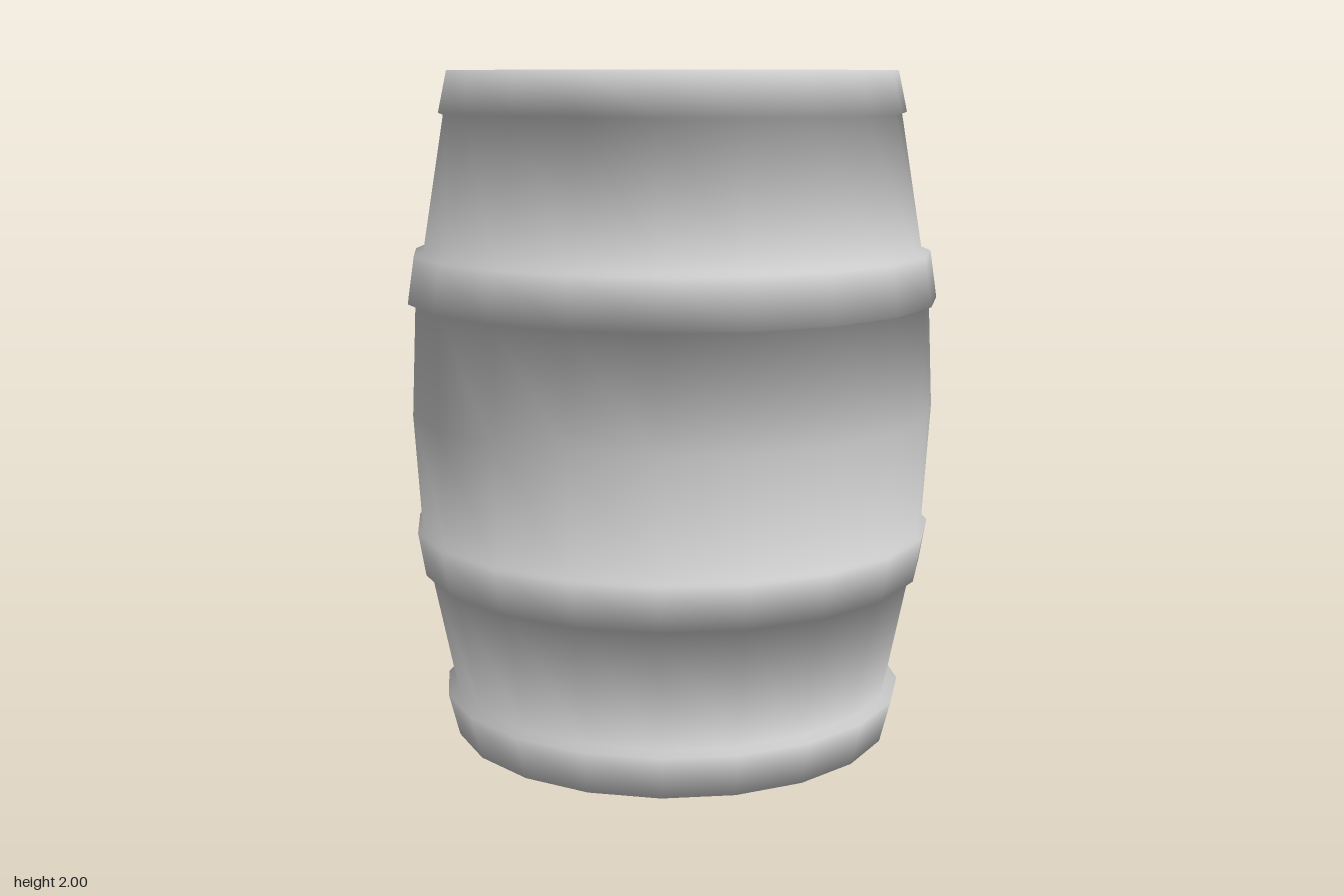
import * as THREE from 'three';

const SIDES = 20;

// Lathe whose normals average the two neighbouring bands evenly, for soft rounded hoops
function softLathe(points) {
  const geometry = new THREE.LatheGeometry(points, SIDES);
  const bands = points.slice(1).map((p, i) => {
    const d = p.clone().sub(points[i]).normalize();
    return new THREE.Vector2(d.y, -d.x);
  });
  const last = points.length - 1;
  const normals = points.map((p, j) =>
    bands[Math.max(j - 1, 0)].clone().add(bands[Math.min(j, last - 1)]).normalize());
  for (let i = 0; i <= SIDES; i++) {
    const angle = (i / SIDES) * Math.PI * 2;
    normals.forEach((n, j) => geometry.attributes.normal.setXYZ(
      i * points.length + j, n.x * Math.sin(angle), n.y, n.x * Math.cos(angle)));
  }
  return geometry;
}

export function createModel() {
  const group = new THREE.Group();
  group.name = 'barrel';
  const material = new THREE.MeshStandardMaterial({ color: 0xcccccc });

  // Profile sections as [radius, height], from the underside up to the lid
  const bottomLid = [[0, 0.07], [0.6, 0.07], [0.6, 0]];
  const bottomHoop = [[0.672, 0], [0.705, 0.13], [0.672, 0.142]];
  const lowerHoop = [[0.744, 0.504], [0.763, 0.51], [0.785, 0.642], [0.769, 0.648]];
  const belly = [[0.79, 1.0]];
  const upperHoop = [[0.775, 1.324], [0.797, 1.33], [0.776, 1.47], [0.748, 1.482]];
  const topHoop = [[0.682, 1.874], [0.696, 1.88], [0.67, 2]];
  const topLid = [[0.61, 2], [0.61, 1.93], [0, 1.93]];

  // Staves, hoops, rims and recessed lids share one smooth skin
  const profile = [
    ...bottomLid, ...bottomHoop, ...lowerHoop, ...belly,
    ...upperHoop, ...topHoop, ...topLid,
  ].map(([r, y]) => new THREE.Vector2(r, y));

  const shell = new THREE.Mesh(softLathe(profile), material);
  shell.name = 'hoopedBarrelShell';
  group.add(shell);
  return group;
}
